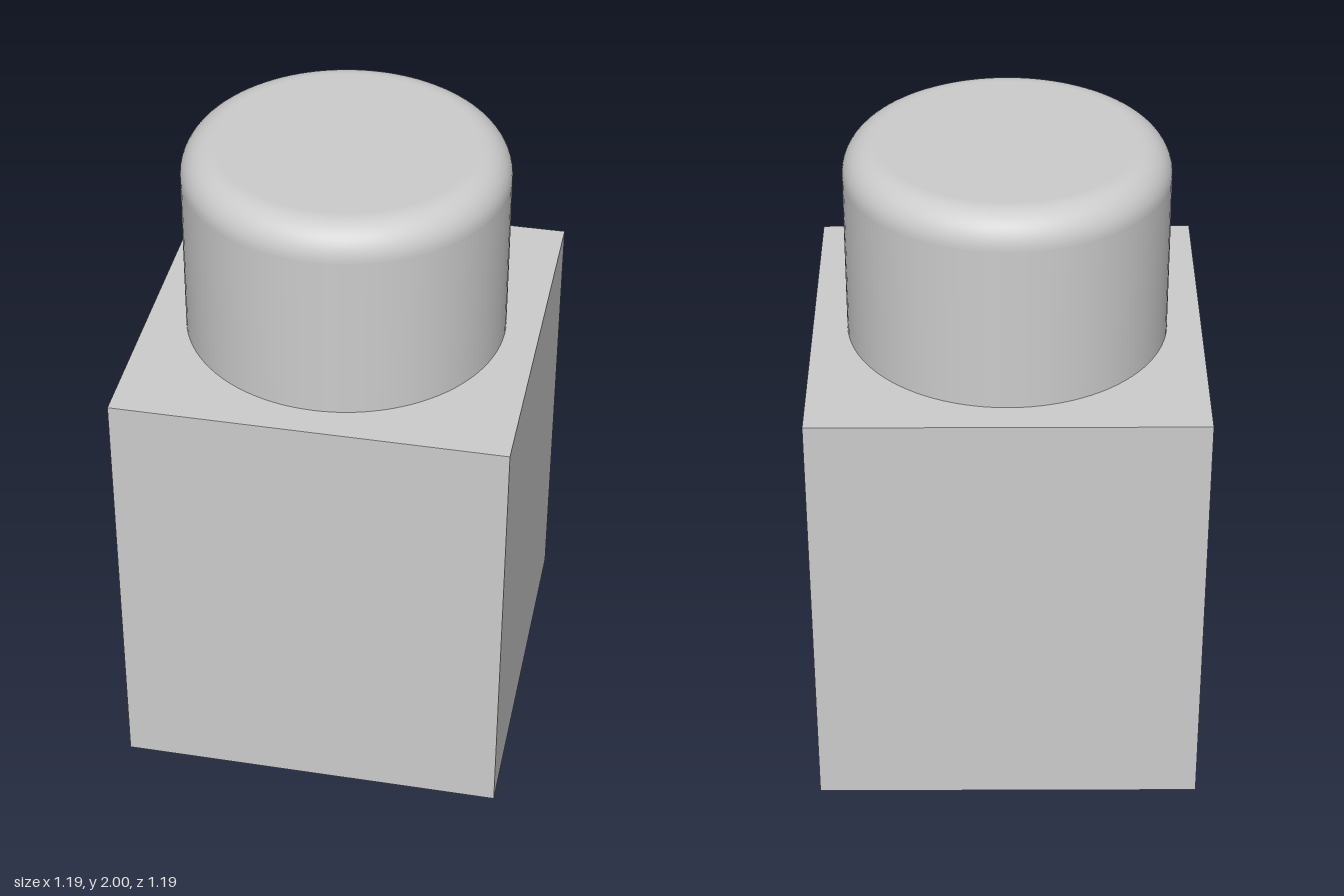
import * as THREE from 'three';

export function createModel() {
  const group = new THREE.Group();
  const grey = new THREE.MeshStandardMaterial({ color: 0xcccccc });
  grey.name = 'light grey';

  const width = 1.187, bodyHeight = 1.378, height = 2;
  const radius = 0.489, fillet = 0.1;

  // Square block
  const body = new THREE.Mesh(new THREE.BoxGeometry(width, bodyHeight, width), grey);
  body.name = 'body';
  body.position.y = bodyHeight / 2;
  group.add(body);

  // Round stud with a filleted top rim; close-set points keep the wall and top shading flat
  const profile = [
    new THREE.Vector2(radius, bodyHeight),
    new THREE.Vector2(radius, height - fillet - 0.003),
  ];
  const steps = 14;
  for (let i = 0; i <= steps; i++) {
    const a = (i / steps) * Math.PI / 2;
    profile.push(new THREE.Vector2(
      radius - fillet + fillet * Math.cos(a),
      height - fillet + fillet * Math.sin(a)));
  }
  profile.push(new THREE.Vector2(radius - fillet - 0.003, height), new THREE.Vector2(0, height));
  const stud = new THREE.Mesh(new THREE.LatheGeometry(profile, 96), grey);
  stud.name = 'stud';
  group.add(stud);

  return group;
}
